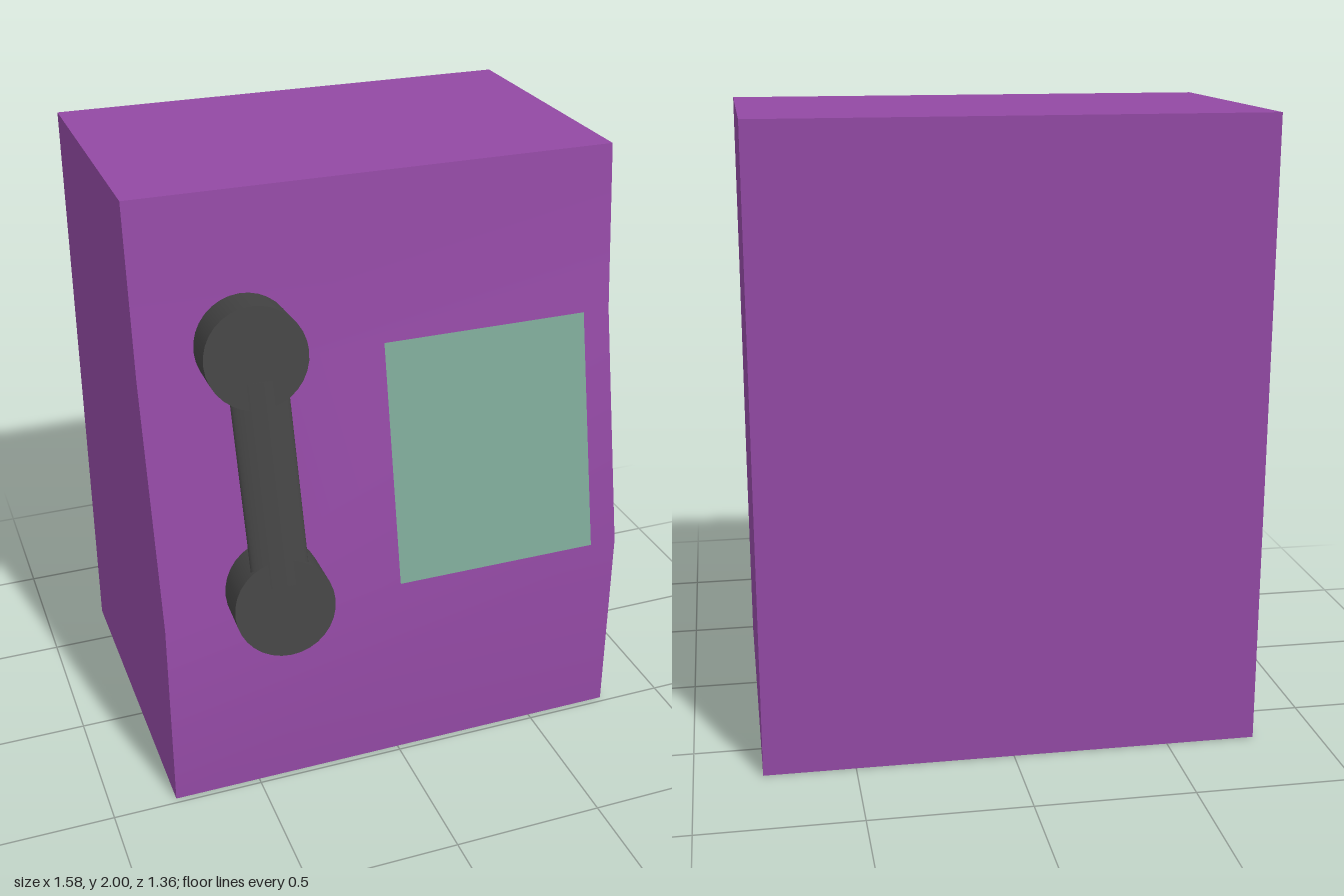
import * as THREE from 'three';
import { toCreasedNormals } from 'three/addons/utils/BufferGeometryUtils.js';

const material = (color) => new THREE.MeshStandardMaterial({ color });

function addMesh(parent, name, geometry, mat) {
  const mesh = new THREE.Mesh(geometry, mat);
  mesh.name = name;
  parent.add(mesh);
  return mesh;
}

export function createModel() {
  const model = new THREE.Group();
  model.name = 'wallPhone';
  const purple = material(0x9249a3);
  const dark = material(0x444444);
  const green = material(0x7ba595);

  // Cabinet: side profile (z, y) extruded across x
  const width = 1.575;
  const profile = [[-0.68, 0], [0.48, 0], [0.48, 0.67], [0.31, 1.46], [0.25, 2], [-0.68, 2]];
  const shape = new THREE.Shape(profile.map(([z, y]) => new THREE.Vector2(z, y)));
  const cabinet = new THREE.ExtrudeGeometry(shape, { depth: width, bevelEnabled: false });
  cabinet.rotateY(-Math.PI / 2).translate(width / 2, 0, 0);
  addMesh(model, 'cabinet', toCreasedNormals(cabinet, Math.PI / 6), purple);

  // Screen: thin panel lying on the sloping face
  const rise = 0.79, run = 0.17;
  const screen = addMesh(model, 'screen', new THREE.PlaneGeometry(0.695, Math.hypot(rise, run)), green);
  screen.rotation.x = -Math.atan2(run, rise);
  screen.position.set(0.3475, 1.066, 0.398);

  // Handset: local y runs along the grip, local z points out of the cabinet
  const handset = new THREE.Group();
  handset.name = 'handset';
  const out = new THREE.Vector3(-0.1, 0.19, 1).normalize();
  const along = new THREE.Vector3(-0.025, 0.78, -0.145).normalize();
  const across = new THREE.Vector3().crossVectors(along, out).normalize();
  along.crossVectors(out, across);
  handset.quaternion.setFromRotationMatrix(new THREE.Matrix4().makeBasis(across, along, out));
  handset.position.set(-0.4575, 1.175, 0.5725);
  model.add(handset);

  // Earpiece and mouthpiece
  const depth = 0.21;
  for (const [name, side] of [['earpiece', 1], ['mouthpiece', -1]]) {
    const cup = new THREE.CylinderGeometry(0.157, 0.157, depth, 32);
    cup.rotateX(Math.PI / 2).translate(0, side * 0.397, -depth / 2);
    addMesh(handset, name, cup, dark);
  }

  // Flattened grip joining the two cups
  const grip = new THREE.CylinderGeometry(0.09, 0.09, 0.65, 32);
  grip.scale(1, 1, 0.31).translate(0, 0, -0.025);
  addMesh(handset, 'grip', grip, dark);

  return model;
}
